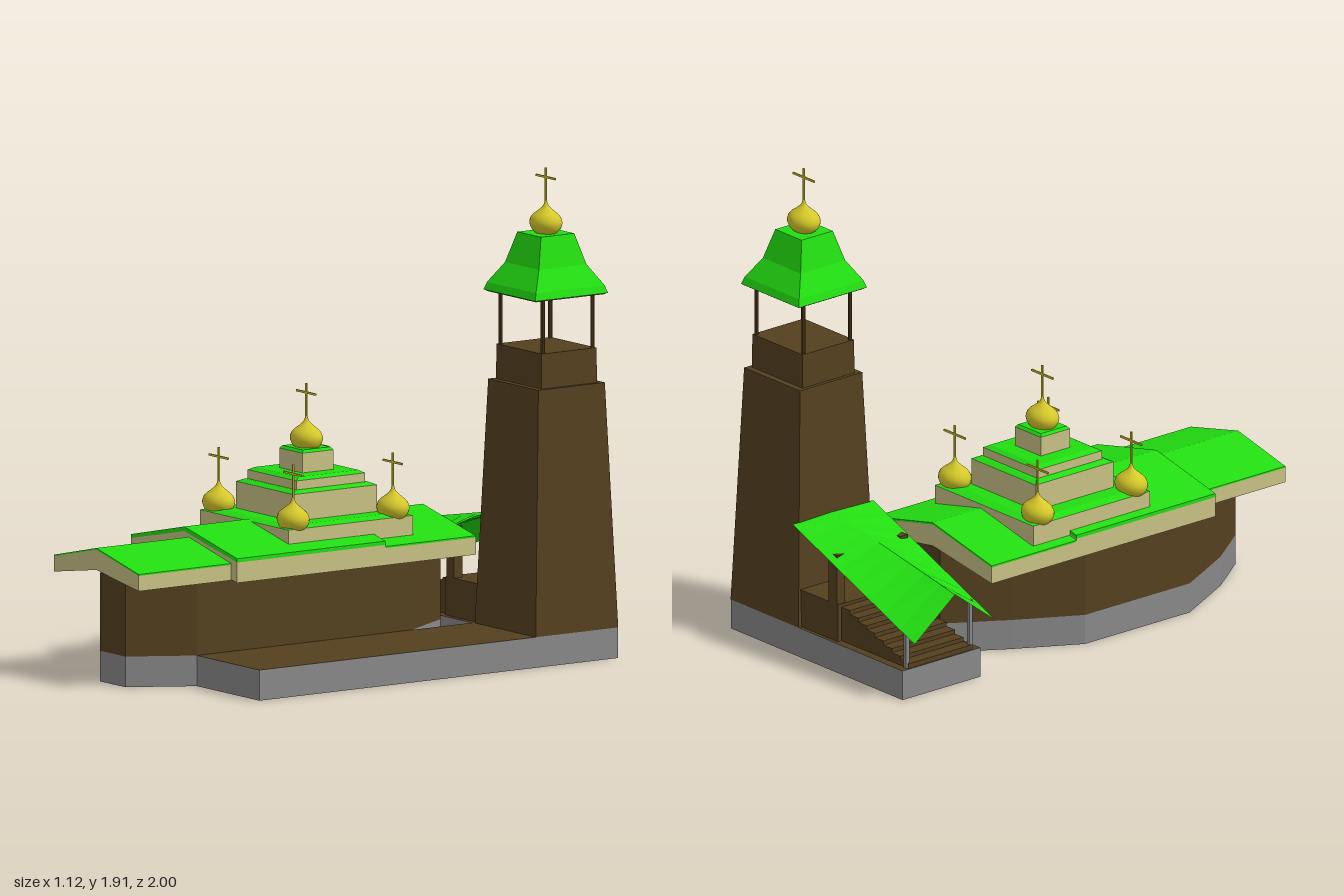
import * as THREE from 'three';

const mat = (color, extra = {}) => new THREE.MeshStandardMaterial({ color, flatShading: true, ...extra });

export function createModel() {
  const model = new THREE.Group();
  const green = mat(0x22dd11), brown = mat(0x54401f), cream = mat(0xc8c184), grey = mat(0x888888);
  const gold = mat(0xd4c82a, { flatShading: false });
  const sheet = mat(0x22dd11, { side: THREE.DoubleSide });

  function add(name, geometry, material, x = 0, y = 0, z = 0, parent = model) {
    const mesh = new THREE.Mesh(geometry, material);
    mesh.name = name;
    mesh.position.set(x, y, z);
    parent.add(mesh);
    return mesh;
  }

  // Box given by its limits
  function block(name, material, x0, x1, y0, y1, z0, z1) {
    return add(name, new THREE.BoxGeometry(x1 - x0, y1 - y0, z1 - z0), material,
      (x0 + x1) / 2, (y0 + y1) / 2, (z0 + z1) / 2);
  }

  // Four-sided frustum from half widths at bottom and top, standing on y
  function frustum(name, material, x, z, y0, y1, [bx, bz], [tx, tz]) {
    const g = new THREE.BoxGeometry(2, y1 - y0, 2);
    const p = g.attributes.position;
    for (let i = 0; i < p.count; i++) {
      const top = p.getY(i) > 0;
      p.setX(i, p.getX(i) * (top ? tx : bx));
      p.setZ(i, p.getZ(i) * (top ? tz : bz));
    }
    g.computeVertexNormals();
    return add(name, g, material, x, (y0 + y1) / 2, z);
  }

  // Ground plan of [x, z] corners raised between two heights
  function raisePlan(name, plan, y0, y1, materials) {
    const shape = new THREE.Shape(plan.map(([x, z]) => new THREE.Vector2(x, -z)));
    const g = new THREE.ExtrudeGeometry(shape, { depth: y1 - y0, bevelEnabled: false });
    g.rotateX(-Math.PI / 2);
    return add(name, g, materials, 0, y0, 0);
  }

  // Gabled slab: [eave, ridge] heights of underside and top, running along z
  function gable(name, material, x0, x1, z0, z1, [eave0, ridge0], [eave1, ridge1]) {
    const mid = (x0 + x1) / 2;
    const shape = new THREE.Shape([[x0, eave0], [mid, ridge0], [x1, eave0], [x1, eave1], [mid, ridge1], [x0, eave1]]
      .map(([x, y]) => new THREE.Vector2(x, y)));
    add(name, new THREE.ExtrudeGeometry(shape, { depth: z1 - z0, bevelEnabled: false }), material, 0, 0, z0);
  }

  // Onion dome with a cross
  const onionProfile = new THREE.SplineCurve([[0.038, 0], [0.062, 0.018], [0.073, 0.046], [0.062, 0.072],
    [0.034, 0.093], [0.012, 0.112], [0.004, 0.135]].map(([r, y]) => new THREE.Vector2(r, y))).getPoints(18);
  function dome(x, y, z) {
    const g = new THREE.Group();
    g.name = 'onionDome';
    g.position.set(x, y, z);
    const onion = add('onion', new THREE.LatheGeometry(onionProfile, 24), gold, 0, 0, 0, g);
    onion.scale.z = 0.81;
    add('crossPost', new THREE.BoxGeometry(0.008, 0.14, 0.006), gold, 0, 0.19, 0, g);
    add('crossBar', new THREE.BoxGeometry(0.128, 0.008, 0.006), gold, 0, 0.223, 0, g);
    model.add(g);
  }

  // Plinth and church walls
  const church = [[0.14, 0.72], [0, 0.96], [-0.17, 0.96], [-0.315, 0.76], [-0.46, 0.48],
    [-0.46, -0.05], [-0.32, -0.3], [-0.17, -0.54], [0, -0.54], [0.14, -0.3]];
  const terrace = [[0.14, -0.59], [-0.47, -0.59], [-0.47, -0.985], [0.557, -0.985], [0.557, 0.72]];
  raisePlan('plinth', [...church, ...terrace], 0, 0.12, [brown, grey]);
  raisePlan('churchWalls', church, 0.12, 0.425, brown);

  // Roofs: cream cornice slab with a green covering
  gable('porchCornice', cream, -0.42, 0.145, 0.5, 1, [0.4, 0.445], [0.46, 0.525]);
  gable('porchRoof', green, -0.42, 0.145, 0.5, 1, [0.46, 0.525], [0.466, 0.531]);
  gable('naveCornice', cream, -0.52, 0.185, -0.145, 0.56, [0.395, 0.45], [0.475, 0.55]);
  gable('naveRoof', green, -0.52, 0.185, -0.145, 0.56, [0.475, 0.55], [0.49, 0.568]);
  gable('rearCornice', cream, -0.52, 0.185, -0.575, -0.145, [0.395, 0.45], [0.462, 0.538]);
  gable('rearRoof', green, -0.52, 0.185, -0.575, -0.145, [0.462, 0.538], [0.469, 0.546]);

  // Stepped tiers over the nave: half widths, bottom, top
  const cx = -0.187, cz = -0.035;
  for (const [hx, hz, y0, y1] of [[0.295, 0.296, 0.48, 0.562], [0.192, 0.198, 0.562, 0.678],
    [0.163, 0.163, 0.685, 0.724], [0.077, 0.074, 0.73, 0.812]]) {
    block('tier', cream, cx - hx, cx + hx, y0, y1, cz - hz, cz + hz);
    frustum('tierRoof', green, cx, cz, y1, y1 + 0.011, [hx, hz], [hx * 0.88, hz * 0.88]);
  }
  dome(cx, 0.81, cz);
  for (const x of [-0.435, 0.06]) for (const z of [-0.27, 0.205]) dome(x, 0.548, z);

  // Bell tower
  const tx = 0.354, tz = -0.79;
  frustum('towerShaft', brown, tx, tz, 0.12, 1.08, [0.203, 0.196], [0.167, 0.158]);
  frustum('towerBelfry', brown, tx, tz, 1.08, 1.217, [0.152, 0.132], [0.15, 0.13]);
  for (const sx of [-1, 1]) for (const sz of [-1, 1])
    add('belfryPost', new THREE.CylinderGeometry(0.008, 0.008, 0.24, 8), brown,
      tx + sx * 0.14, 1.325, tz + sz * 0.118);
  const flare = [[0.173, 1.43], [0.163, 1.46], [0.113, 1.54], [0.096, 1.6], [0.079, 1.66]];
  for (let i = 0; i + 1 < flare.length; i++) {
    const [r0, y0] = flare[i], [r1, y1] = flare[i + 1];
    frustum('towerRoof', green, tx - 0.005, tz, y0, y1, [r0, r0], [r1, r1]);
  }
  block('belfryCeiling', brown, tx - 0.17, tx + 0.16, 1.425, 1.431, tz - 0.165, tz + 0.165);
  dome(tx - 0.004, 1.655, tz);

  // Covered stair climbing to the tower
  const steps = 8;
  for (let i = 0; i < steps; i++) {
    const x = -0.465 + i * 0.05;
    block('step', brown, x, x + 0.05, 0.12, 0.14 + i * 0.017, -0.95, -0.63);
  }
  block('landing', brown, -0.065, 0.18, 0.12, 0.272, -0.97, -0.61);
  for (const z of [-0.95, -0.63]) {
    block('landingPost', brown, -0.06, -0.01, 0.27, 0.475, z - 0.02, z + 0.02);
    block('stairPost', grey, -0.46, -0.445, 0.12, 0.325, z - 0.008, z + 0.008);
  }

  // Stair roof: a gable at the low end flattening out at the tower
  const roof = new THREE.PlaneGeometry(0.73, 0.41, 8, 2).rotateX(-Math.PI / 2);
  const p = roof.attributes.position;
  for (let i = 0; i < p.count; i++) {
    const t = p.getX(i) / 0.73 + 0.5, side = Math.abs(p.getZ(i)) / 0.205;
    const eave = 0.26 + 0.285 * t, ridge = 0.416 + 0.134 * t;
    p.setY(i, ridge + (eave - ridge) * side);
  }
  roof.computeVertexNormals();
  add('stairRoof', roof, sheet, -0.195, 0, -0.795);

  return model;
}
